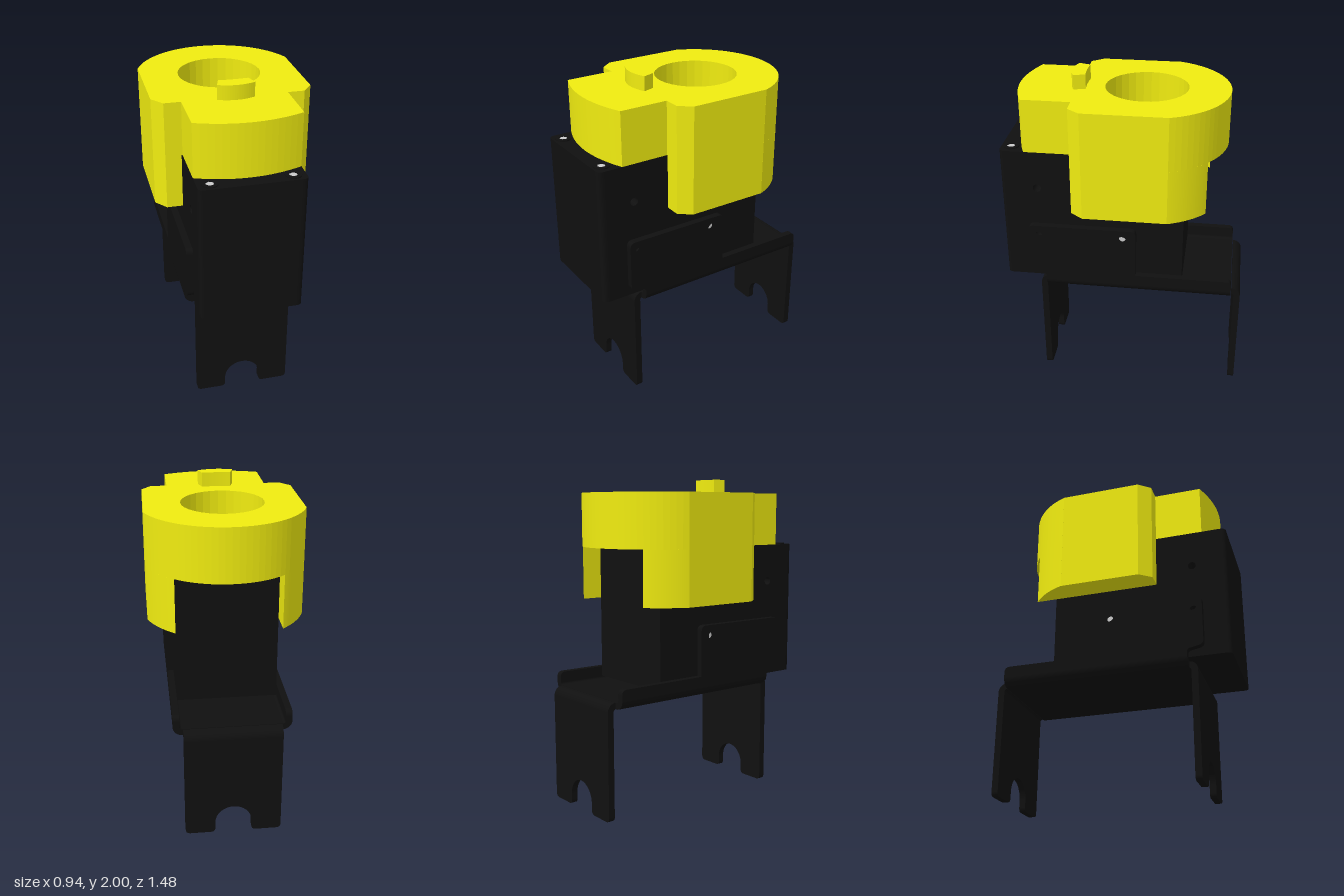
import * as THREE from 'three';

const black = new THREE.MeshStandardMaterial({ color: 0x101010 });
const yellow = new THREE.MeshStandardMaterial({ color: 0xf0ec10 });
const grey = new THREE.MeshStandardMaterial({ color: 0xcccccc });

const polygon = (pts) => new THREE.Shape(pts.map(([x, y]) => new THREE.Vector2(x, y)));

function addHole(shape, x, y, r) {
  const hole = new THREE.Path();
  hole.absarc(x, y, r, 0, Math.PI * 2, true);
  shape.holes.push(hole);
  return shape;
}

const extrude = (shape, depth) =>
  new THREE.ExtrudeGeometry(shape, { depth, bevelEnabled: false, curveSegments: 16 });

// Shape drawn in (z, y), running from x0 to x1
const alongX = (shape, x0, x1) => extrude(shape, x1 - x0).rotateY(-Math.PI / 2).translate(x1, 0, 0);
// Shape drawn in (x, z), running from y0 to y1
const alongY = (shape, y0, y1) => extrude(shape, y1 - y0).rotateX(Math.PI / 2).translate(0, y1, 0);
// Shape drawn in (x, y), running from z0 to z1
const alongZ = (shape, z0, z1) => extrude(shape, z1 - z0).translate(0, 0, z0);

// Polygon whose corners are softened: each point is [x, y, radius]
function rounded(pts) {
  const s = new THREE.Shape();
  const n = pts.length;
  pts.forEach(([x, y, r = 0], i) => {
    const p = new THREE.Vector2(x, y);
    const toward = (q) => new THREE.Vector2(q[0], q[1]).sub(p).setLength(r).add(p);
    const a = toward(pts[(i + n - 1) % n]);
    const b = toward(pts[(i + 1) % n]);
    if (i) s.lineTo(a.x, a.y); else s.moveTo(a.x, a.y);
    if (r) s.quadraticCurveTo(x, y, b.x, b.y);
  });
  return s;
}

// Quarter ring for a sheet metal bend
function bend(cx, cy, start) {
  const s = new THREE.Shape();
  s.absarc(cx, cy, 0.055, start, start + Math.PI / 2, false);
  s.absarc(cx, cy, 0.015, start + Math.PI / 2, start, true);
  return s;
}

export function createModel() {
  const model = new THREE.Group();
  const add = (name, geometry, material, parent = model) => {
    const mesh = new THREE.Mesh(geometry, material);
    mesh.name = name;
    parent.add(mesh);
    return mesh;
  };

  // Folded mounting bracket
  const bracket = new THREE.Group();
  bracket.name = 'bracket';
  model.add(bracket);
  add('bracketPlate', new THREE.BoxGeometry(0.6, 0.04, 1.16).translate(0, 0.695, -0.1), black, bracket);

  // Legs with an open notch at the foot
  const leg = new THREE.Shape();
  leg.moveTo(-0.295, 0.66);
  leg.lineTo(-0.295, 0.03);
  leg.quadraticCurveTo(-0.295, 0, -0.265, 0);
  leg.lineTo(-0.14, 0);
  leg.quadraticCurveTo(-0.112, 0, -0.112, 0.03);
  leg.lineTo(-0.112, 0.07);
  leg.absarc(0, 0.07, 0.112, Math.PI, 0, true);
  leg.lineTo(0.112, 0.03);
  leg.quadraticCurveTo(0.112, 0, 0.14, 0);
  leg.lineTo(0.265, 0);
  leg.quadraticCurveTo(0.295, 0, 0.295, 0.03);
  leg.lineTo(0.295, 0.66);
  add('frontLeg', alongZ(leg, 0.49, 0.53), black, bracket);
  add('backLeg', alongZ(leg, -0.74, -0.7), black, bracket);
  add('frontBend', alongX(bend(0.475, 0.66, 0), -0.295, 0.295), black, bracket);
  add('backBend', alongX(bend(-0.685, 0.66, Math.PI / 2), -0.295, 0.295), black, bracket);

  // Side flanges, low at the back and tall at the front
  const flange = rounded([
    [-0.68, 0.73], [-0.68, 0.797, 0.035], [-0.085, 0.797], [-0.085, 1.112, 0.035],
    [0.58, 1.112, 0.035], [0.58, 0.79, 0.03], [0.48, 0.77, 0.02], [0.48, 0.73],
  ]);
  addHole(flange, 0.52, 1.045, 0.025);
  addHole(flange, 0, 1.045, 0.027);
  for (const s of [-1, 1]) {
    const side = s > 0 ? 'left' : 'right';
    const [x0, x1] = s > 0 ? [0.315, 0.355] : [-0.355, -0.315];
    add(side + 'Flange', alongX(flange, x0, x1), black, bracket);
    add(side + 'Bend', alongZ(bend(s * 0.3, 0.73, s > 0 ? -Math.PI / 2 : Math.PI), -0.68, 0.48), black, bracket);
    // Pivot screw seen in the rear flange hole
    add(side + 'PivotScrew',
      new THREE.CylinderGeometry(0.02, 0.02, 0.02, 16).rotateZ(Math.PI / 2).translate(s * 0.317, 1.045, 0), grey, bracket);
  }

  // Motor housing with cross holes
  const body = polygon([[-0.37, 0.735], [0.7, 0.735], [0.7, 1.585], [-0.37, 1.585]]);
  addHole(body, 0.52, 1.35, 0.025);
  addHole(body, 0.52, 1.045, 0.025);
  add('motorHousing', alongX(body, -0.31, 0.31), black);
  const face = rounded([[-0.31, 0.7], [0.31, 0.7], [0.31, 0.74, 0.035], [-0.31, 0.74, 0.035]]);
  add('frontCover', alongY(face, 0.735, 1.585), black);
  for (const x of [-0.235, 0.235]) {
    const ring = new THREE.Shape();
    ring.absarc(x, 0.68, 0.048, 0, Math.PI * 2, false);
    addHole(ring, x, 0.68, 0.025);
    add('coverScrew', alongY(ring, 1.57, 1.592), black);
    add('screwSocket', new THREE.CylinderGeometry(0.025, 0.025, 0.012, 6).translate(x, 1.582, 0.68), grey);
  }

  // Yellow cap with a round opening over the output disc
  const cz = -0.11;
  const a = Math.atan2(0.17, 0.47);
  const cap = polygon([
    [0.47, -0.28], [0.47, 0.22], [0.41, 0.295], [0.31, 0.295], [0.31, 0.59],
  ]);
  cap.quadraticCurveTo(0, 0.72, -0.31, 0.59);
  [[-0.31, 0.295], [-0.41, 0.295], [-0.47, 0.22], [-0.47, -0.28]].forEach(([x, z]) => cap.lineTo(x, z));
  cap.absarc(0, cz, 0.5, Math.PI + a, Math.PI * 2 - a, false);
  addHole(cap, 0, cz, 0.25);
  add('cap', alongY(cap, 1.585, 1.912), yellow);

  // Skirts hanging on both sides of the housing
  const skirt = polygon([[0.315, 0.295], [0.41, 0.295], [0.47, 0.22], [0.47, -0.28]]);
  skirt.absarc(0, cz, 0.5, -a, -Math.acos(0.63), true);
  const skirtPoints = skirt.getPoints(12);
  for (const s of [-1, 1]) {
    const outline = polygon(skirtPoints.map((p) => [s * p.x, p.y]));
    add(s > 0 ? 'leftSkirt' : 'rightSkirt', alongY(outline, 1.25, 1.585), yellow);
  }

  // Pointer tab on top of the cap
  const tab = new THREE.Shape();
  tab.moveTo(-0.088, 0.245);
  tab.quadraticCurveTo(0, 0.255, 0.088, 0.245);
  tab.lineTo(0.11, 0.315);
  tab.quadraticCurveTo(0, 0.365, -0.11, 0.315);
  add('tab', alongY(tab, 1.912, 2), yellow);

  // Output disc with a ring of bolt holes
  const disc = new THREE.Shape();
  disc.absarc(0, cz, 0.238, 0, Math.PI * 2, false);
  addHole(disc, 0, cz, 0.07);
  for (let i = 0; i < 8; i++) {
    const t = (i * Math.PI) / 4;
    addHole(disc, 0.203 * Math.cos(t), cz + 0.203 * Math.sin(t), 0.02);
  }
  add('outputDisc', alongY(disc, 1.588, 1.64), grey);
  const hub = new THREE.Shape();
  hub.absarc(0, cz, 0.105, 0, Math.PI * 2, false);
  addHole(hub, 0, cz, 0.07);
  add('outputHub', alongY(hub, 1.64, 1.655), grey);

  return model;
}
